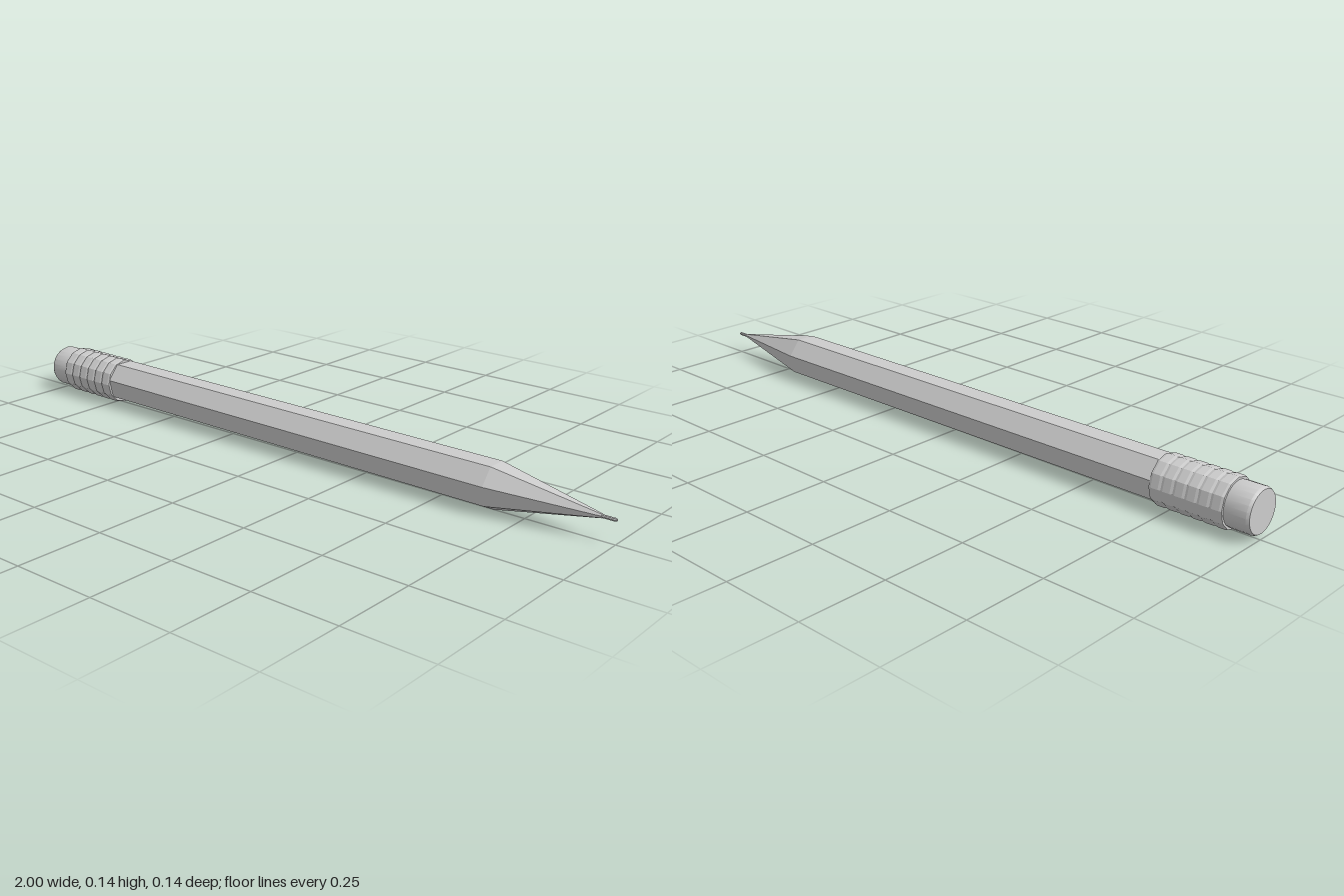
import * as THREE from 'three';
import { toCreasedNormals } from 'three/addons/utils/BufferGeometryUtils.js';

// Turn a profile of [x, radius] points (ordered by rising x) around the x axis
function turned(name, profile, sides, flat = true) {
  const points = profile.map(([x, r]) => new THREE.Vector2(r, x));
  let geometry = new THREE.LatheGeometry(points, sides, Math.PI / 2);
  geometry.rotateZ(-Math.PI / 2);
  if (!flat) geometry = toCreasedNormals(geometry, 0.5);
  const material = new THREE.MeshStandardMaterial({ color: 0xcccccc, flatShading: flat });
  const mesh = new THREE.Mesh(geometry, material);
  mesh.name = name;
  return mesh;
}

export function createModel() {
  const pencil = new THREE.Group();
  pencil.name = 'pencil';

  // Seven-sided shaft and its sharpened cone
  pencil.add(turned('shaft', [[-0.9, 0], [-0.9, 0.066], [0.66, 0.066]], 7));
  pencil.add(turned('sharpenedCone', [[0.66, 0.066], [0.96, 0.006], [0.96, 0]], 7));

  // Thin lead point
  pencil.add(turned('lead', [[0.94, 0.005], [0.995, 0.005], [1, 0.003], [1, 0]], 8));

  // Twelve-sided ferrule with raised bands
  const start = -0.93, end = -0.72, bands = 6;
  const step = (end - start) / bands;
  const ferrule = [[start, 0.06], [start, 0.068]];
  for (let i = 0; i < bands; i++) {
    const x = start + i * step;
    ferrule.push([x + step * 0.2, 0.07], [x + step * 0.8, 0.07], [x + step, 0.068]);
  }
  ferrule.push([end, 0.058]);
  pencil.add(turned('ferrule', ferrule, 12));

  // Round eraser with a slightly softened rim
  pencil.add(turned('eraser',
    [[-1, 0], [-1, 0.058], [-0.992, 0.062], [-0.94, 0.062], [-0.92, 0.06]], 24, false));

  // Rests on the shaft's front and the ferrule, so the axis tilts slightly
  pencil.rotation.z = -0.0047;
  pencil.position.y = 0.0691;

  const model = new THREE.Group();
  model.name = 'pencilModel';
  model.add(pencil);
  return model;
}
